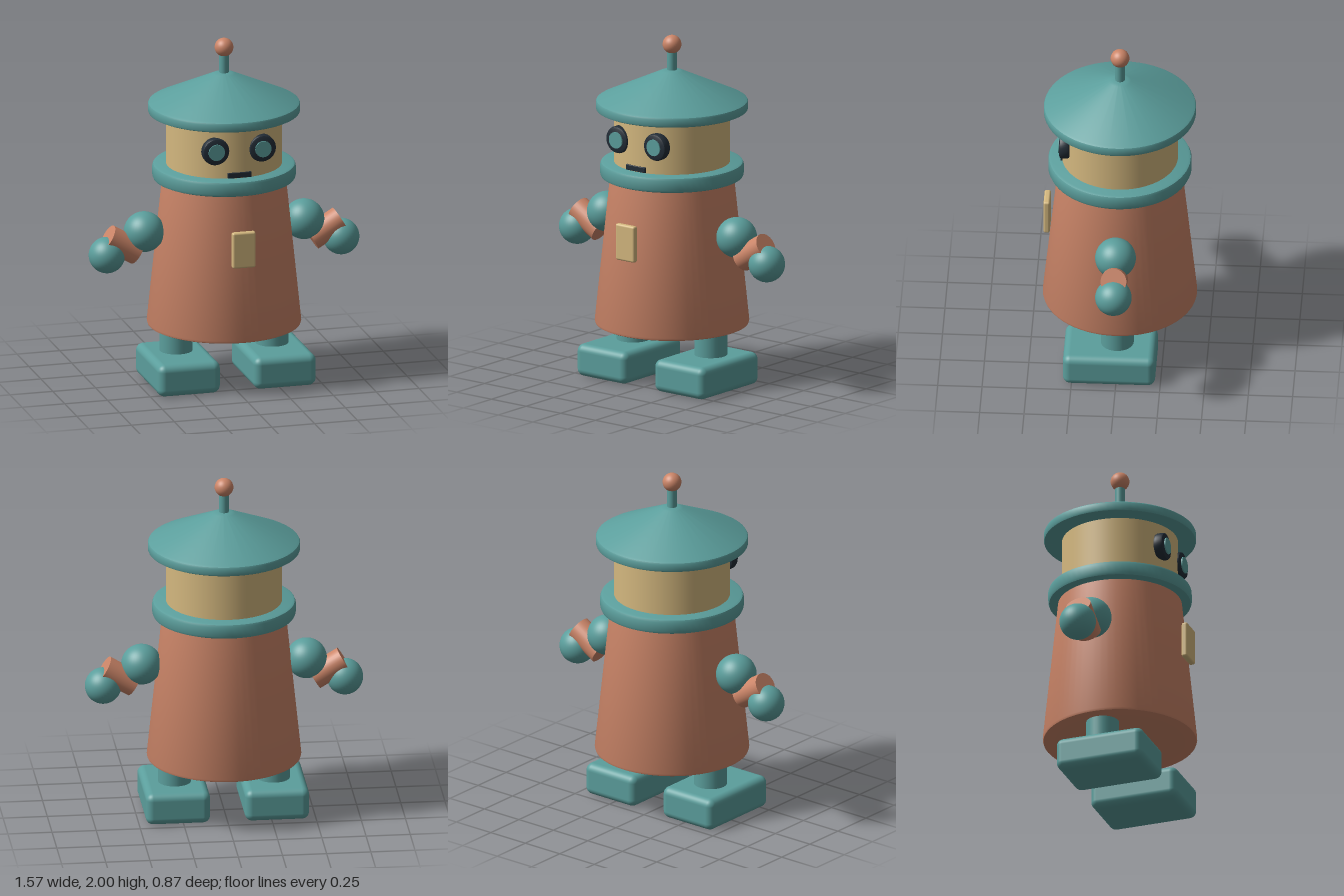
import * as THREE from 'three';
import { toCreasedNormals } from 'three/addons/utils/BufferGeometryUtils.js';
import { RoundedBoxGeometry } from 'three/addons/geometries/RoundedBoxGeometry.js';

const material = (name, color) => {
  const m = new THREE.MeshStandardMaterial({ color });
  m.name = name;
  return m;
};

export function createModel() {
  const teal = material('teal', 0x5b9e9c);
  const copper = material('copper', 0xcb8568);
  const cream = material('cream', 0xd4b87f);
  const dark = material('dark', 0x222c36);

  const robot = new THREE.Group();
  robot.name = 'robot';

  const add = (name, geometry, mat, x = 0, y = 0, z = 0) => {
    const mesh = new THREE.Mesh(geometry, mat);
    mesh.name = name;
    mesh.position.set(x, y, z);
    robot.add(mesh);
    return mesh;
  };

  // Turned solid from [radius, height] pairs listed bottom to top
  const turned = (profile, segments = 64) => toCreasedNormals(
    new THREE.LatheGeometry(profile.map(([r, y]) => new THREE.Vector2(r, y)), segments), 0.6);

  // Disc with softened rims, centred on its own axis
  const softDisc = (r, h, b, segments = 64) => turned([
    [0, -h / 2], [r - b, -h / 2], [r - b * 0.3, -h / 2 + b * 0.3], [r, -h / 2 + b],
    [r, h / 2 - b], [r - b * 0.3, h / 2 - b * 0.3], [r - b, h / 2], [0, h / 2],
  ], segments);

  // Trunk, collar and head
  add('body', turned([[0, 0.33], [0.42, 0.33], [0.431, 0.335], [0.435, 0.348], [0.347, 1.2], [0, 1.2]]), copper);
  add('collar', softDisc(0.404, 0.09, 0.018), teal, 0, 1.227);
  add('head', new THREE.CylinderGeometry(0.327, 0.327, 0.34, 64), cream, 0, 1.42);

  // Hat with antenna
  add('hat', turned([
    [0, 1.57], [0.418, 1.57], [0.426, 1.574], [0.429, 1.582], [0.429, 1.615],
    [0.425, 1.624], [0.412, 1.632], [0.063, 1.793], [0.045, 1.8], [0, 1.8],
  ]), teal);
  add('antennaRod', new THREE.CylinderGeometry(0.027, 0.027, 0.16, 24), teal, 0, 1.86);
  add('antennaBall', new THREE.SphereGeometry(0.053, 32, 20), copper, 0, 1.947);

  // Face and chest details
  add('mouth', new RoundedBoxGeometry(0.138, 0.032, 0.03, 2, 0.004), dark, 0, 1.29, 0.317);
  add('chestPlate', new RoundedBoxGeometry(0.136, 0.21, 0.036, 3, 0.012), cream, 0, 0.875, 0.41);

  for (const [side, s] of [['left', 1], ['right', -1]]) {
    // Eye
    add(side + 'EyeRim', softDisc(0.078, 0.058, 0.014, 40), dark, s * 0.136, 1.434, 0.304).rotation.x = Math.PI / 2;
    add(side + 'EyeLens', new THREE.CylinderGeometry(0.047, 0.047, 0.009, 32), teal, s * 0.136, 1.434, 0.336).rotation.x = Math.PI / 2;

    // Arm
    add(side + 'Shoulder', new THREE.SphereGeometry(0.115, 40, 28), teal, s * 0.467, 0.9);
    add(side + 'Forearm', new THREE.CylinderGeometry(0.073, 0.073, 0.197, 32), copper, s * 0.593, 0.834)
      .rotation.z = -s * 1.03;
    add(side + 'Hand', new THREE.SphereGeometry(0.103, 40, 28), teal, s * 0.684, 0.78);

    // Leg
    add(side + 'Leg', new THREE.CylinderGeometry(0.093, 0.093, 0.22, 32), teal, s * 0.28, 0.25);
    add(side + 'Foot', new RoundedBoxGeometry(0.364, 0.186, 0.52, 4, 0.042), teal, s * 0.28, 0.097, 0.039);
  }

  return robot;
}
